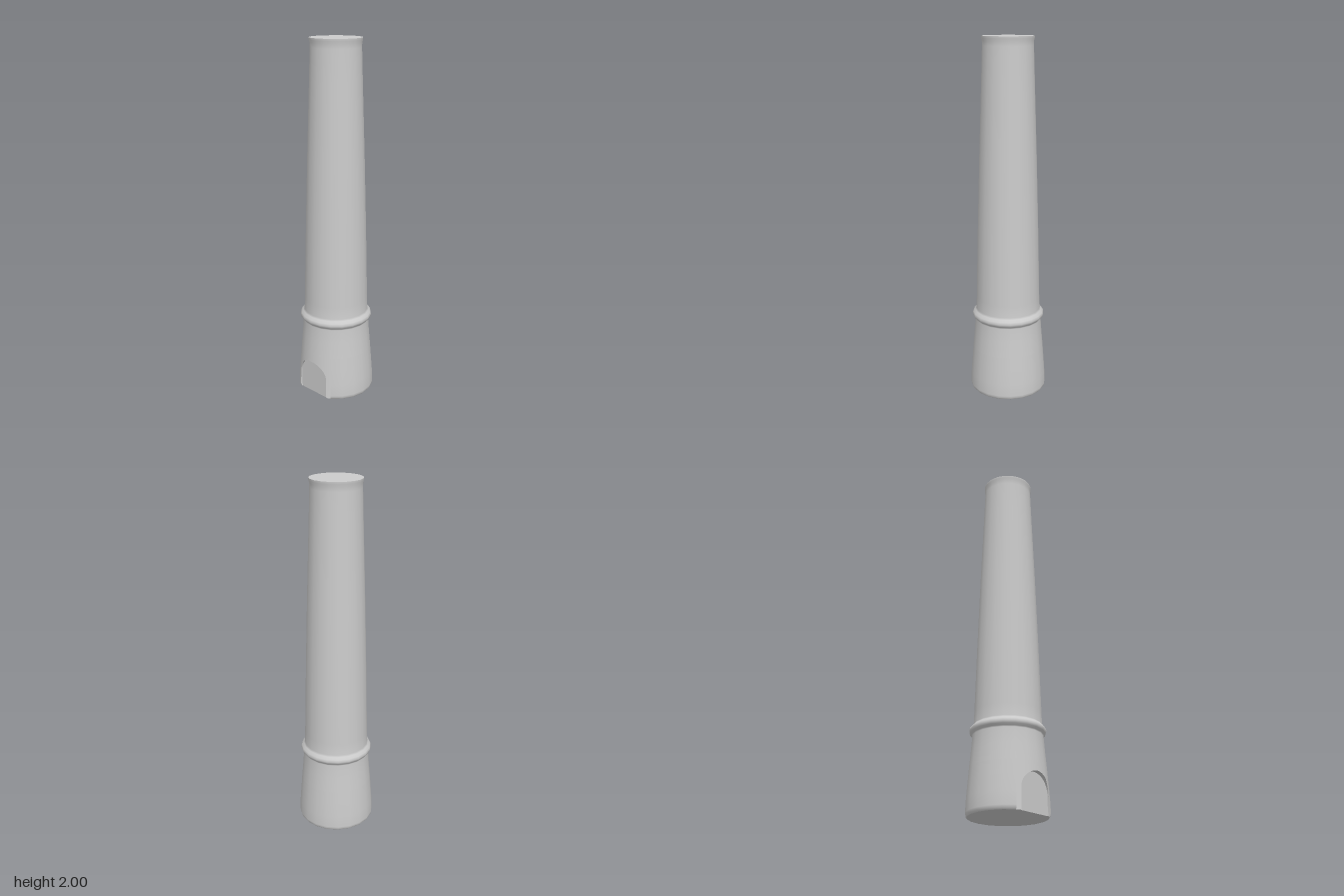
import * as THREE from 'three';

const AXIS = -0.007, STEP = Math.PI / 10; // axis offset, 20-sided tower
const DOOR = 0.505, DOOR_X = -0.183;      // door half angle, recessed plane
const SECTOR = 2 * STEP, SPLIT = 0.25;    // wall patch that holds the door

// radius / height pairs
const BASE = [[0.209, 0], [0.215, 0.008], [0.2175, 0.022], [0.2145, 0.09], [0.2075, 0.18], [0.202, SPLIT]];
const UPPER = [[0.202, SPLIT], [0.194, 0.34], [0.188, 0.42], [0.19, 0.428], [0.2, 0.436], [0.204, 0.449],
  [0.2, 0.462], [0.188, 0.474], [0.1815, 0.484], [0.18, 0.55], [0.17, 0.95], [0.158, 1.35], [0.143, 1.78],
  [0.1375, 1.95], [0.138, 1.975], [0.142, 1.988], [0.142, 2]];

const toVectors = (p) => p.map(([r, y]) => new THREE.Vector2(r, y));

function baseRadius(y) {
  let i = 1;
  while (i < BASE.length - 1 && y > BASE[i][1]) i++;
  const [r0, y0] = BASE[i - 1], [r1, y1] = BASE[i];
  return r0 + (r1 - r0) * (y - y0) / (y1 - y0);
}

// point on the faceted wall; angle 0 faces -x
function wallPoint(a, y) {
  const inFacet = a - Math.floor(a / STEP + 1e-6) * STEP - STEP / 2;
  const r = baseRadius(y) * Math.cos(STEP / 2) / Math.cos(inFacet);
  return new THREE.Vector3(AXIS - r * Math.cos(a), y, r * Math.sin(a));
}

// surface through rows of equally many points
function skin(rows) {
  const n = rows[0].length, index = [];
  for (let i = 0; i < rows.length - 1; i++) {
    for (let j = 0; j < n - 1; j++) {
      const a = i * n + j, b = a + n;
      index.push(a, b, a + 1, b, b + 1, a + 1);
    }
  }
  const g = new THREE.BufferGeometry().setFromPoints(rows.flat());
  g.setIndex(index);
  g.computeVertexNormals();
  return g;
}

export function createModel() {
  const group = new THREE.Group();
  const material = new THREE.MeshStandardMaterial({ color: 0xcccccc });
  const doubleSided = new THREE.MeshStandardMaterial({ color: 0xcccccc, side: THREE.DoubleSide });
  const add = (name, geometry, mat = material) => {
    const mesh = new THREE.Mesh(geometry, mat);
    mesh.name = name;
    group.add(mesh);
    return mesh;
  };

  // tapering shaft with collar and lip
  add('shaft', new THREE.LatheGeometry(toVectors(UPPER), 20)).position.x = AXIS;
  const top = add('topCap', new THREE.CircleGeometry(0.142, 20).rotateX(-Math.PI / 2));
  top.position.set(AXIS, 2, 0);

  // foot wall, open where the door patch goes
  add('footWall', new THREE.LatheGeometry(toVectors(BASE), 16, Math.PI * 1.5 + SECTOR,
    Math.PI * 2 - 2 * SECTOR)).position.x = AXIS;

  // arched door outline as angle / height pairs
  const outline = [[-DOOR, 0], [-DOOR, 0.022]];
  for (let i = 0; i <= 20; i++) {
    const t = Math.PI * (1 - i / 20);
    outline.push([DOOR * Math.cos(t), 0.11 + 0.095 * Math.sin(t)]);
  }
  outline.push([DOOR, 0.022], [DOOR, 0]);

  // wall around the door, in columns that start at the outline
  const columns = [[-SECTOR, 0], ...outline, [SECTOR, 0]];
  for (const a of [-STEP, STEP]) {
    columns.push([a, 0.11 + 0.095 * Math.sqrt(1 - (a / DOOR) ** 2)]);
  }
  columns.sort((p, q) => p[0] - q[0]);
  const patch = skin(columns.map(([a, y0]) => {
    const heights = [0, 0.008, 0.022, 0.06, 0.09, 0.13, 0.18, 0.215, SPLIT];
    return heights.map((y) => wallPoint(a, Math.max(y, y0)));
  }));
  // radial normals match the neighbouring wall
  const pos = patch.attributes.position, normal = new THREE.Vector3();
  for (let i = 0; i < pos.count; i++) {
    normal.set(pos.getX(i) - AXIS, 0, pos.getZ(i)).normalize().setY(0.08).normalize();
    patch.attributes.normal.setXYZ(i, normal.x, normal.y, normal.z);
  }
  add('doorSurround', patch, doubleSided);

  // sides of the recess
  const rim = outline.map(([a, y]) => wallPoint(a, y));
  const inner = rim.map((p) => new THREE.Vector3(DOOR_X, p.y, p.z));
  add('doorReveal', skin([rim, inner]), doubleSided);

  // flat door panel
  const panel = new THREE.ShapeGeometry(new THREE.Shape(inner.map((p) => new THREE.Vector2(p.z, p.y))));
  panel.rotateY(-Math.PI / 2);
  add('doorPanel', panel, doubleSided).position.x = DOOR_X;

  // underside, cut back along the door
  const sole = [];
  for (let i = 2; i <= 18; i++) {
    const p = wallPoint(i * STEP, 0);
    sole.push(new THREE.Vector2(p.x, p.z));
  }
  for (const p of [rim[0], inner[0], inner[inner.length - 1], rim[rim.length - 1]]) {
    sole.push(new THREE.Vector2(p.x, p.z));
  }
  add('underside', new THREE.ShapeGeometry(new THREE.Shape(sole)).rotateX(Math.PI / 2));

  return group;
}
